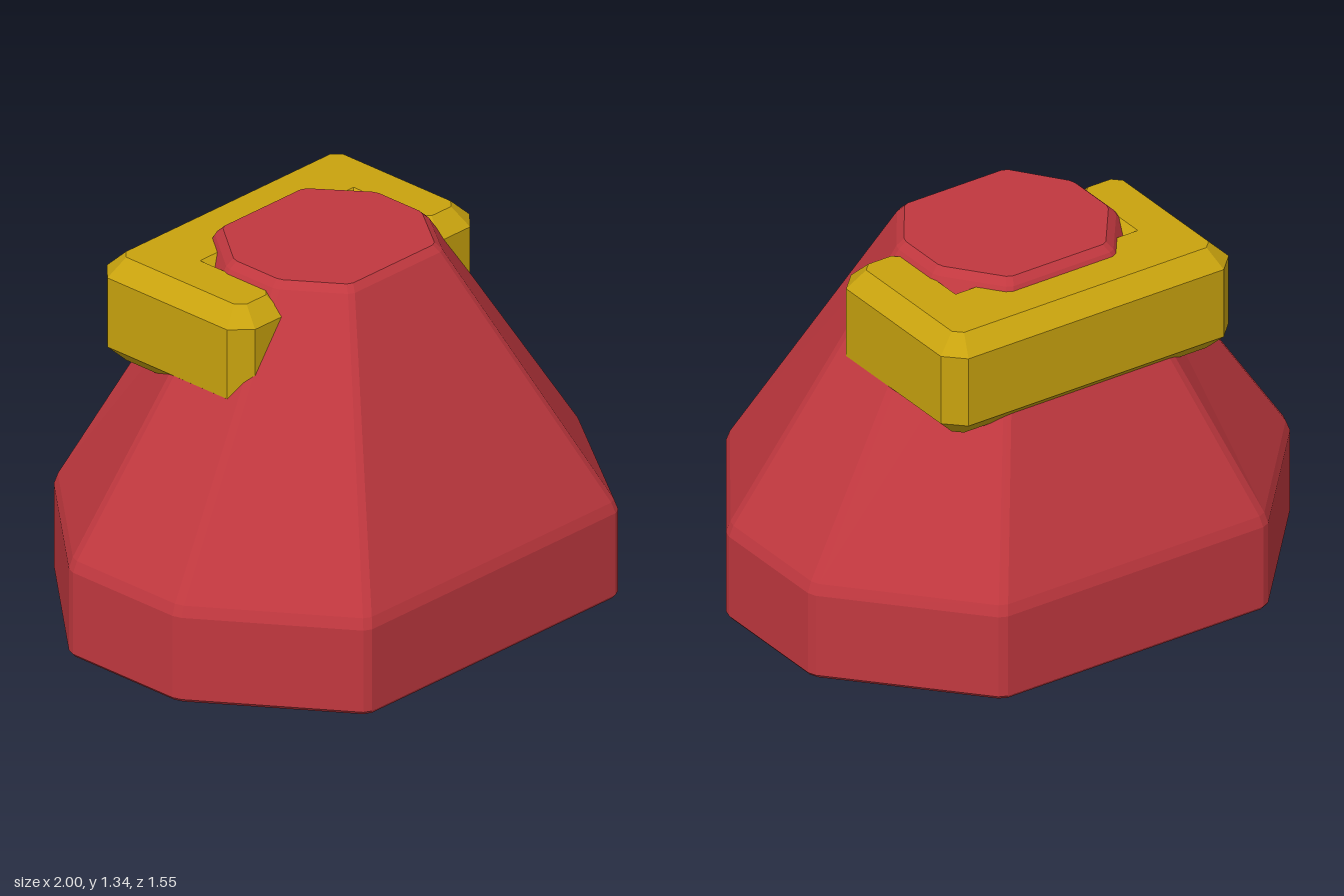
import * as THREE from 'three';

const red = new THREE.MeshStandardMaterial({ color: 0xc1383f, flatShading: true });
red.name = 'red';
const yellow = new THREE.MeshStandardMaterial({ color: 0xc9a30e, flatShading: true });
yellow.name = 'yellow';

// Mirror half an outline (front to back, x > 0) into a closed loop, trimming each corner slightly
function outline(half, trim) {
  const pts = [...half, ...half.map(([x, z]) => [-x, z]).reverse()];
  const n = pts.length;
  const toward = (a, b) => {
    const t = trim / Math.hypot(b[0] - a[0], b[1] - a[1]);
    return [a[0] + (b[0] - a[0]) * t, a[1] + (b[1] - a[1]) * t];
  };
  return pts.flatMap((p, i) => [toward(p, pts[(i + n - 1) % n]), toward(p, pts[(i + 1) % n])]);
}

// Join horizontal loops into a closed solid
function loft(rings) {
  const pos = [], idx = [], n = rings[0].loop.length;
  for (const { y, loop, s = 1 } of rings) for (const [x, z] of loop) pos.push(x * s, y, z * s);
  for (let j = 0; j < rings.length - 1; j++) {
    for (let i = 0; i < n; i++) {
      const k = (i + 1) % n, a = j * n, b = a + n;
      idx.push(a + i, a + k, b + k, a + i, b + k, b + i);
    }
  }
  const bottom = pos.length / 3, last = (rings.length - 1) * n;
  pos.push(0, rings[0].y, 0, 0, rings[rings.length - 1].y, 0);
  for (let i = 0; i < n; i++) {
    const k = (i + 1) % n;
    idx.push(bottom, k, i, bottom + 1, last + i, last + k);
  }
  const g = new THREE.BufferGeometry();
  g.setAttribute('position', new THREE.Float32BufferAttribute(pos, 3));
  g.setIndex(idx);
  const flat = g.toNonIndexed();
  flat.computeVertexNormals();
  return flat;
}

// Tapered eight-sided body on an upright plinth
function makeBody() {
  const base = outline([[0.62, 0.775], [1, 0.23], [1, -0.275], [0.55, -0.78]], 0.018);
  const top = outline([[0.225, 0.32], [0.378, 0.105], [0.378, -0.125], [0.215, -0.34]], 0.014);
  const mix = (t) => base.map(([x, z], i) => [x + (top[i][0] - x) * t, z + (top[i][1] - z) * t]);
  return new THREE.Mesh(loft([
    { y: 0, loop: base, s: 0.99 },
    { y: 0.012, loop: base },
    { y: 0.325, loop: base },
    { y: 0.365, loop: mix(0.025) },
    { y: 1.31, loop: top },
    { y: 1.335, loop: top, s: 0.93 },
  ]), red);
}

// Chamfered U-shaped collar wrapping the back of the neck
function makeCollar() {
  const bevel = 0.065, c = 0.03;
  const half = [
    [0.38, -0.25], [0.38, 0.09 - c], [0.38 + c, 0.09], [0.535 - c, 0.09], [0.535, 0.09 - c],
    [0.535, -0.48 + c], [0.535 - c, -0.48],
  ];
  const loop = [...half, ...half.map(([x, z]) => [-x, z]).reverse()];
  const shape = new THREE.Shape(loop.map(([x, z]) => new THREE.Vector2(x, z)));
  const g = new THREE.ExtrudeGeometry(shape, {
    depth: 0.265, bevelEnabled: true, bevelSize: bevel, bevelThickness: bevel, bevelSegments: 1,
  });
  g.rotateX(Math.PI / 2);
  g.translate(0, 1.295 - bevel, 0);
  return new THREE.Mesh(g, yellow);
}

export function createModel() {
  const model = new THREE.Group();
  model.name = 'model';
  const body = makeBody();
  body.name = 'body';
  const collar = makeCollar();
  collar.name = 'collar';
  model.add(body, collar);
  return model;
}
